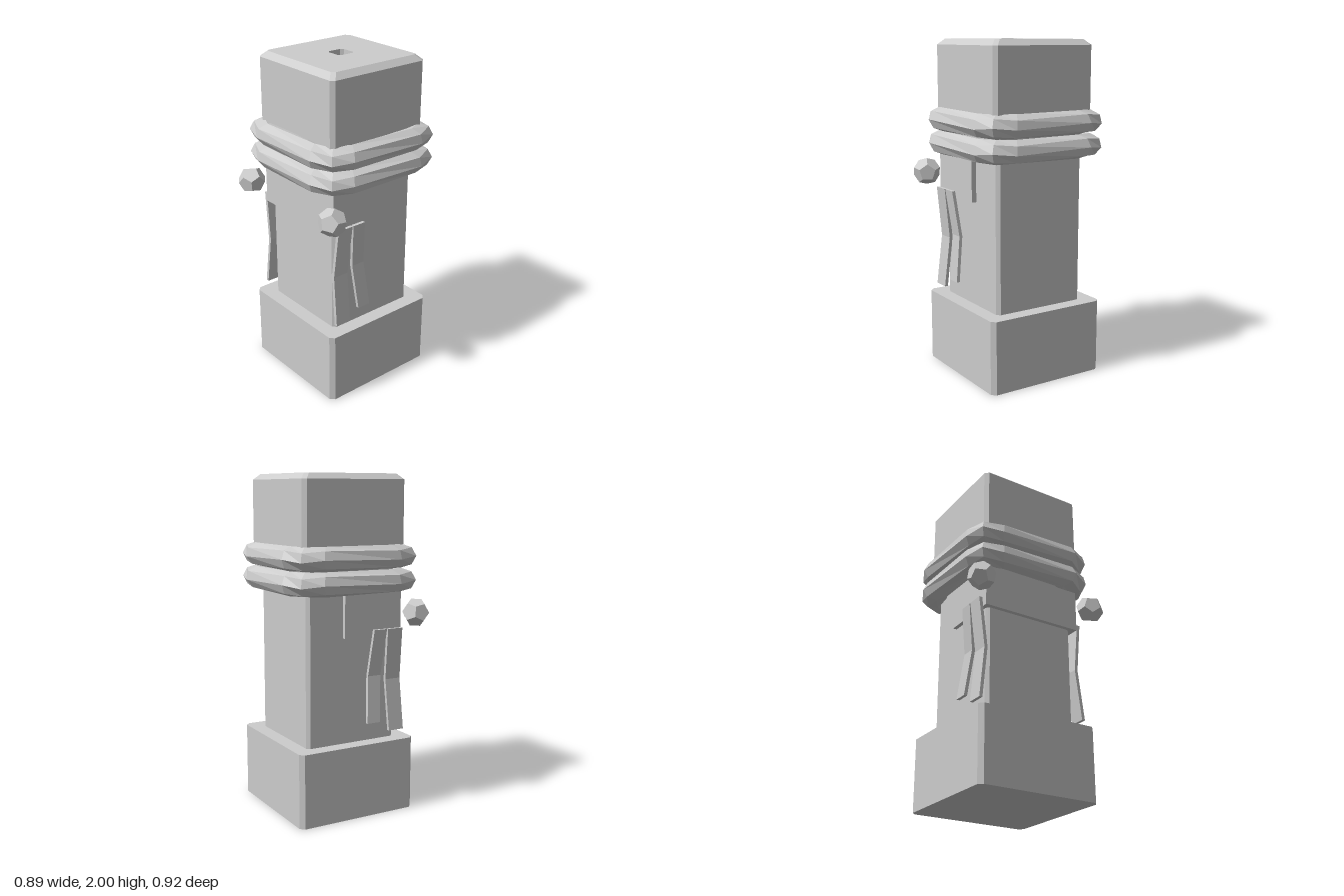
import * as THREE from 'three';

const CX = 0.015, CZ = 0.007;

// Skin a list of equal-length cross-sections; closed joins last to first, otherwise ends are capped
function skin(sections, closed) {
  const n = sections[0].length, m = sections.length, pos = [], idx = [];
  sections.forEach(s => s.forEach(p => pos.push(...p)));
  for (let i = 0; i < (closed ? m : m - 1); i++) {
    for (let j = 0; j < n; j++) {
      const k = (j + 1) % n, r = ((i + 1) % m) * n;
      const a = i * n + j, b = i * n + k, c = r + k, d = r + j;
      idx.push(a, d, b, b, d, c);
    }
  }
  if (!closed) {
    const e = (m - 1) * n;
    for (let j = 1; j < n - 1; j++) idx.push(0, j, j + 1, e, e + j + 1, e + j);
  }
  const g = new THREE.BufferGeometry();
  g.setAttribute('position', new THREE.Float32BufferAttribute(pos, 3));
  g.setIndex(idx);
  const flat = g.toNonIndexed();
  flat.computeVertexNormals();
  return flat;
}

// Square outline with cut corners at height y
function square(y, h, c) {
  const k = h - c;
  return [[h, -k], [h, k], [k, h], [-k, h], [-h, k], [-h, -k], [-k, -h], [k, -h]]
    .map(([x, z]) => [x + CX, y, z + CZ]);
}

// Plan outline of the rope wraps
const ROPE = [[0.445, -0.25], [0.435, 0.25], [0.395, 0.385], [0.27, 0.43], [-0.24, 0.435], [-0.355, 0.38],
  [-0.415, 0.26], [-0.405, -0.25], [-0.365, -0.375], [-0.24, -0.415], [0.27, -0.425], [0.39, -0.37]];

function rope(y) {
  return skin(ROPE.map(([x, z], i) => {
    const section = [];
    for (let j = 0; j < 8; j++) {
      const t = j * Math.PI / 4 + (i % 2) * 0.2;
      const s = 1 + 0.17 * (Math.cos(t) - 1);
      section.push([CX + (x - CX) * s, y - 0.07 * Math.sin(t), CZ + (z - CZ) * s]);
    }
    return section;
  }), true);
}

// Hanging strip, bent inwards at its middle; side is +1 front, -1 back
function strip(xTop, xBottom, width, yTop, yBottom, side) {
  const g = new THREE.BoxGeometry(width, 1, 0.02, 1, 2, 1);
  const p = g.attributes.position;
  for (let i = 0; i < p.count; i++) {
    const t = 0.5 - p.getY(i);
    const bend = 0.312 + 0.034 * Math.abs(2 * t - 1);
    p.setXYZ(i, p.getX(i) + THREE.MathUtils.lerp(xTop, xBottom, t),
      THREE.MathUtils.lerp(yTop, yBottom, t), p.getZ(i) + CZ + side * bend);
  }
  g.computeVertexNormals();
  return g;
}

export function createModel() {
  const model = new THREE.Group();
  const stone = new THREE.MeshStandardMaterial({ color: 0xcccccc, flatShading: true });
  stone.name = 'palegrey';
  const add = (name, geometry) => {
    const mesh = new THREE.Mesh(geometry, stone);
    mesh.name = name;
    model.add(mesh);
    return mesh;
  };

  // Post
  add('base', skin([square(0, 0.382, 0.025), square(0.44, 0.382, 0.025)]));
  add('shaft', skin([square(0.43, 0.293, 0.02), square(1.62, 0.293, 0.02)]));

  // Cap with bevelled top and a small socket
  add('cap', skin([square(1.59, 0.335, 0.022), square(1.967, 0.335, 0.022),
    square(2, 0.3, 0.02), square(2, 0.055, 0.015), square(1.965, 0.055, 0.015)]));

  // Rope wraps
  add('lowerRope', rope(1.39));
  add('upperRope', rope(1.53));

  // Band wrapped round the right side
  const band = add('band', new THREE.BoxGeometry(0.38, 0.255, 0.64));
  band.position.set(-0.115, 1.195, 0.01);

  // Knots and hanging strips, front and back
  for (const side of [1, -1]) {
    const where = side > 0 ? 'front' : 'back';
    const knot = add(where + 'Knot', new THREE.DodecahedronGeometry(0.084));
    knot.position.set(-0.365, 1.2, CZ + side * 0.385);
    knot.rotation.set(0.2, side * 0.6, 0.15);
    add(where + 'LongStrip', strip(-0.243, -0.258, 0.1, 1.11, 0.495, side));
    add(where + 'ShortStrip', strip(-0.143, -0.1, 0.085, 1.11, 0.557, side));
  }
  return model;
}
